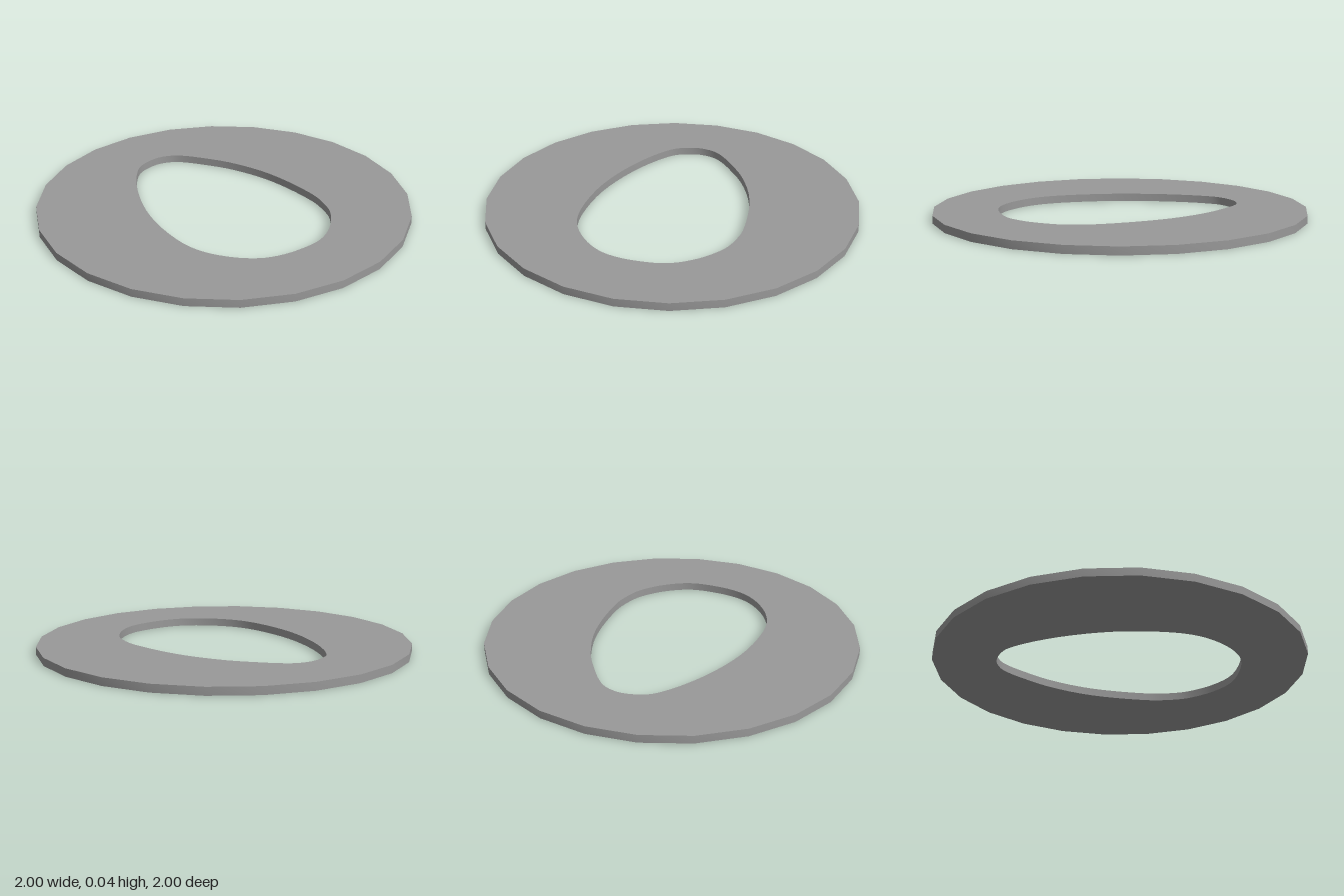
import * as THREE from 'three';
import { toCreasedNormals } from 'three/addons/utils/BufferGeometryUtils.js';

const THICKNESS = 0.042;
const SIDES = 24;

// Egg-shaped opening, as [x, z] points running around the rim
const OPENING = [
  [-0.02, -0.66], [0.075, -0.638], [0.135, -0.59], [0.205, -0.505], [0.295, -0.375],
  [0.38, -0.18], [0.42, 0], [0.437, 0.2], [0.433, 0.27], [0.40, 0.40],
  [0.353, 0.475], [0.29, 0.545], [0.20, 0.61], [0.12, 0.64], [0, 0.65],
  [-0.085, 0.645], [-0.18, 0.62], [-0.26, 0.57], [-0.33, 0.50], [-0.385, 0.42],
  [-0.42, 0.335], [-0.438, 0.22], [-0.43, 0], [-0.385, -0.2], [-0.30, -0.41],
  [-0.20, -0.57], [-0.14, -0.625],
];

export function createModel() {
  const group = new THREE.Group();
  group.name = 'ring';

  // 24-sided outer edge
  const outline = [];
  for (let i = 0; i < SIDES; i++) {
    const a = (i / SIDES) * Math.PI * 2;
    outline.push(new THREE.Vector2(Math.cos(a), Math.sin(a)));
  }
  const shape = new THREE.Shape(outline);

  // Smooth closed curve through the opening points
  const rim = new THREE.CatmullRomCurve3(
    OPENING.map(([x, z]) => new THREE.Vector3(x, z, 0)), true, 'centripetal');
  const rimPoints = rim.getPoints(81).slice(0, -1).map((p) => new THREE.Vector2(p.x, p.y));
  shape.holes.push(new THREE.Path(rimPoints));

  // Lay the plate flat: shape y becomes z, underside on the ground
  const geometry = new THREE.ExtrudeGeometry(shape, { depth: THICKNESS, bevelEnabled: false });
  geometry.rotateX(Math.PI / 2).translate(0, THICKNESS, 0);

  // Walls shade smoothly, top and bottom edges stay sharp
  const plate = new THREE.Mesh(toCreasedNormals(geometry, Math.PI / 5),
    new THREE.MeshStandardMaterial({ color: 0x999999 }));
  plate.name = 'plateWithOpening';
  group.add(plate);
  return group;
}
